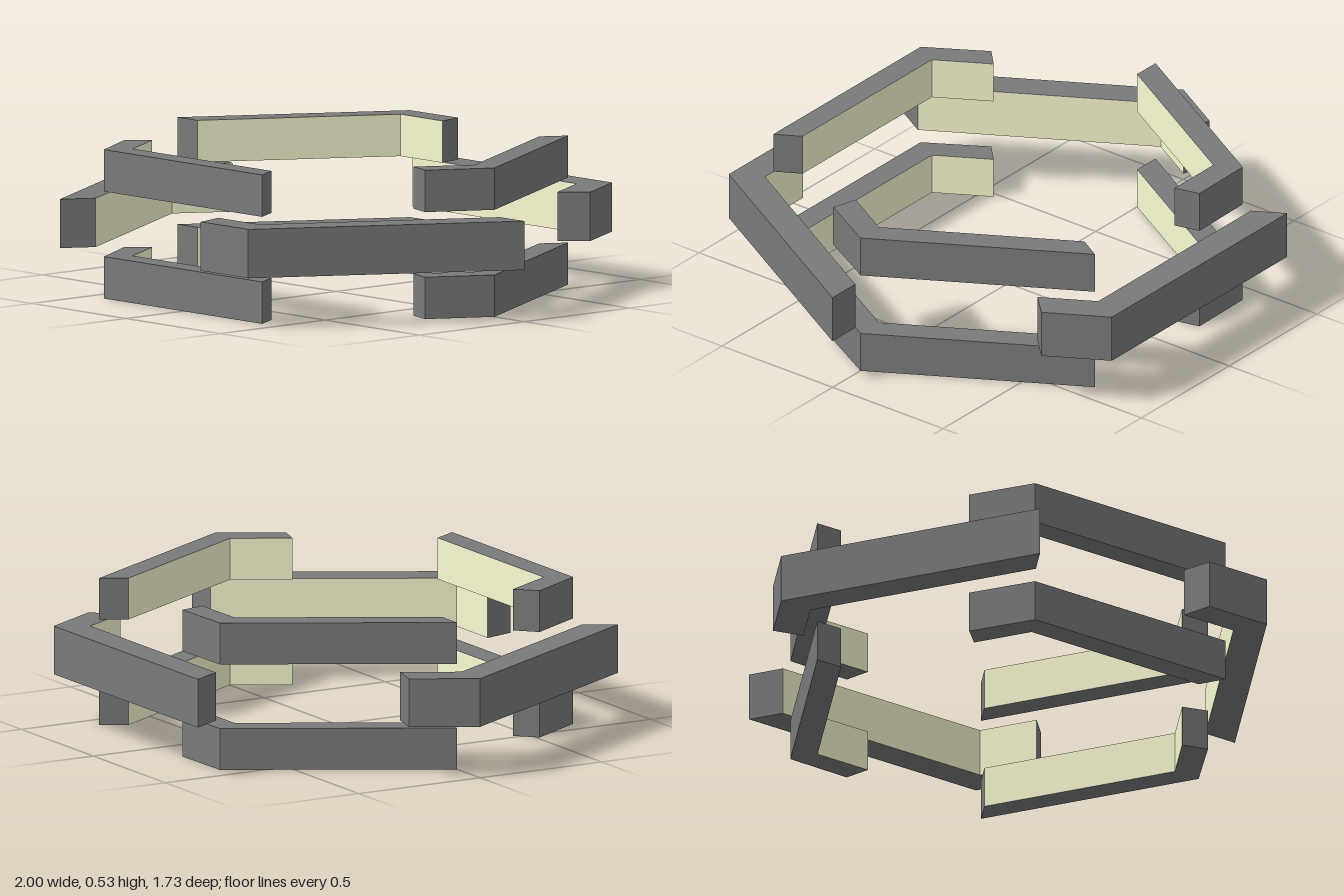
import * as THREE from 'three';

const dark = new THREE.MeshStandardMaterial({ color: 0x7a7a7a, flatShading: true });
const cream = new THREE.MeshStandardMaterial({ color: 0xfafad2, flatShading: true });

// Geometry from a list of quads, corners counter-clockwise from outside
function quads(list) {
  const pos = [];
  for (const [a, b, c, d] of list) pos.push(...a, ...b, ...c, ...a, ...c, ...d);
  const g = new THREE.BufferGeometry();
  g.setAttribute('position', new THREE.Float32BufferAttribute(pos, 3));
  g.computeVertexNormals();
  return g;
}

// Bent bar: outer and inner outlines hold three [x, z] points each
function bentBar(outer, inner, y0, y1) {
  const at = (pts, y) => pts.map(([x, z]) => [x, y, z]);
  const ob = at(outer, y0), ot = at(outer, y1);
  const nb = at(inner, y0), nt = at(inner, y1);
  const shell = [
    [ob[0], nb[0], nt[0], ot[0]], // mitred end
    [nb[2], ob[2], ot[2], nt[2]], // hooked tip
  ];
  const lining = [];
  for (let i = 0; i < 2; i++) {
    const j = i + 1;
    shell.push(
      [ob[j], ob[i], ot[i], ot[j]],
      [ot[i], nt[i], nt[j], ot[j]],
      [ob[j], nb[j], nb[i], ob[i]]
    );
    lining.push([nb[i], nb[j], nt[j], nt[i]]);
  }
  return [quads(shell), quads(lining)];
}

// Three bars turned around the vertical axis
function ring(name, outer, inner, y0, y1) {
  const group = new THREE.Group();
  group.name = name;
  const [shell, lining] = bentBar(outer, inner, y0, y1);
  for (let k = 0; k < 3; k++) {
    const bar = new THREE.Group();
    bar.name = 'bentBar';
    const body = new THREE.Mesh(shell, dark);
    body.name = 'barShell';
    const panel = new THREE.Mesh(lining, cream);
    panel.name = 'innerLightPanel';
    bar.add(body, panel);
    bar.rotation.y = (k * 2 * Math.PI) / 3;
    group.add(bar);
  }
  return group;
}

export function createModel() {
  const model = new THREE.Group();
  model.name = 'hexagonalRingLight';

  // Wide middle ring
  model.add(ring('middleRing',
    [[1, 0], [0.5, 0.866], [0.248, 0.866]],
    [[0.87, 0], [0.435, 0.754], [0.217, 0.754]],
    0.185, 0.36));

  // Narrower rings below and above, offset by one side
  const outer = [[0.42, 0.728], [-0.42, 0.728], [-0.55, 0.512]];
  const inner = [[0.368, 0.637], [-0.368, 0.637], [-0.479, 0.445]];
  model.add(ring('lowerRing', outer, inner, 0, 0.15));
  model.add(ring('upperRing', outer, inner, 0.383, 0.533));
  return model;
}
